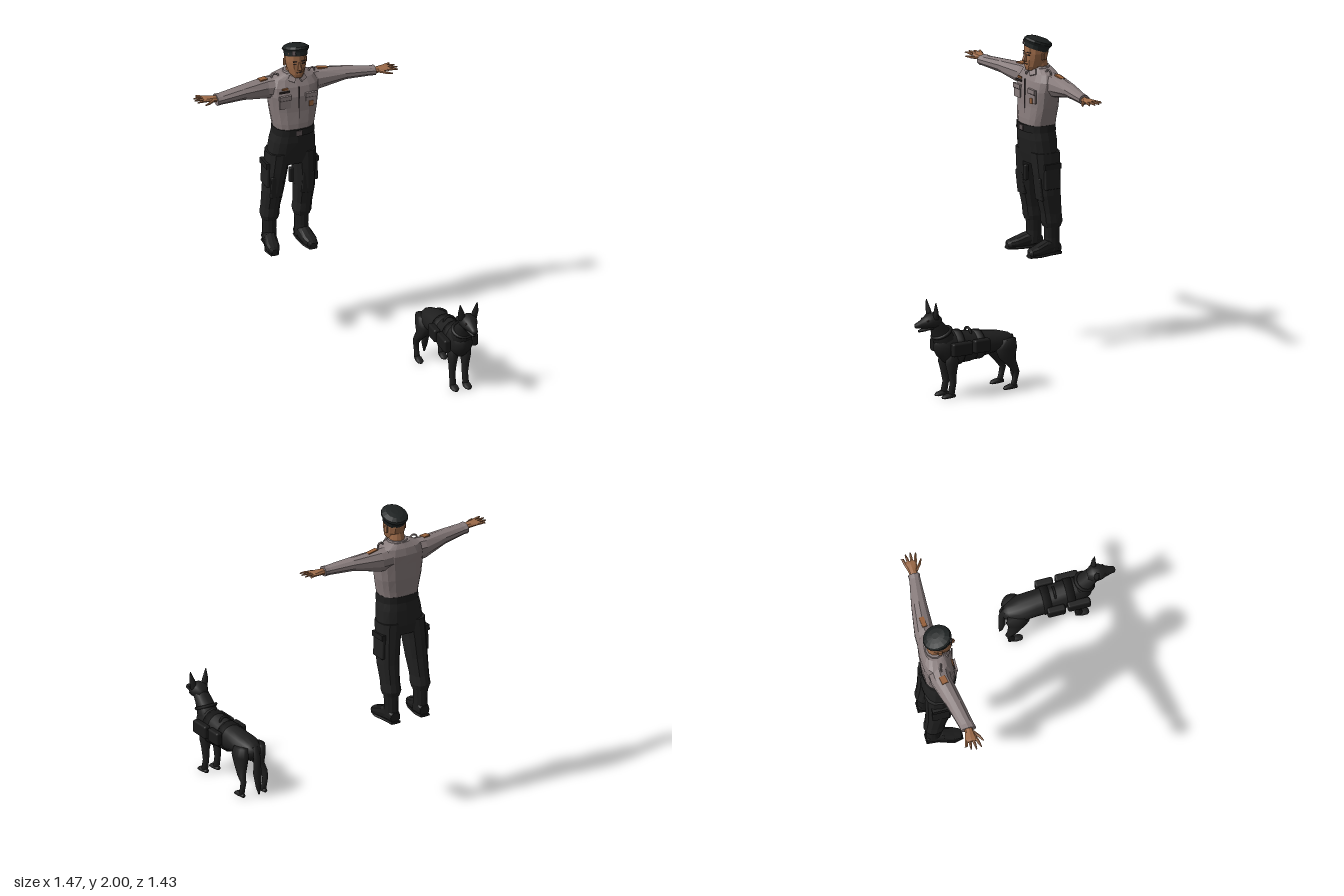
import * as THREE from 'three';
import { RoundedBoxGeometry } from 'three/addons/geometries/RoundedBoxGeometry.js';

const mat = (name, color) => Object.assign(new THREE.MeshStandardMaterial({ color }), { name });

// Closed skin over elliptical rings [x, y, z, a, b] stacked along an axis.
// Radii: axis y -> (x, z), axis x -> (y, z), axis z -> (x, y). pow < 1 makes squarer rings.
function loft(axis, rings, { n = 12, pow = 1, flat = true } = {}) {
  const k = 'xyz'.indexOf(axis), u = (k + 1) % 3, v = (k + 2) % 3;
  const list = rings[0][k] > rings[rings.length - 1][k] ? [...rings].reverse() : rings;
  const pos = [], idx = [];
  const curve = (c) => Math.sign(c) * Math.abs(c) ** pow;
  for (const r of list) {
    const [ru, rv] = axis === 'y' ? [r[4], r[3]] : [r[3], r[4]];
    for (let j = 0; j < n; j++) {
      const t = (j / n) * Math.PI * 2, p = r.slice(0, 3);
      p[u] += ru * curve(Math.cos(t));
      p[v] += rv * curve(Math.sin(t));
      pos.push(...p);
    }
  }
  for (let i = 0; i < list.length - 1; i++) for (let j = 0; j < n; j++) {
    const a = i * n + j, b = i * n + (j + 1) % n;
    idx.push(a, b, b + n, a, b + n, a + n);
  }
  const last = (list.length - 1) * n, c = pos.length / 3;
  pos.push(...list[0].slice(0, 3), ...list[list.length - 1].slice(0, 3));
  for (let j = 0; j < n; j++) {
    const q = (j + 1) % n;
    idx.push(c, q, j, c + 1, last + j, last + q);
  }
  let g = new THREE.BufferGeometry();
  g.setAttribute('position', new THREE.Float32BufferAttribute(pos, 3));
  g.setIndex(idx);
  if (flat) g = g.toNonIndexed();
  g.computeVertexNormals();
  return g;
}

export function createModel() {
  const M = {
    skin: mat('skin', 0x9c6a48), shirt: mat('shirt', 0x877b7b), seam: mat('shirt seam', 0x5b5153),
    trousers: mat('trousers black', 0x212121), leather: mat('leather black', 0x1c1c1c),
    beret: mat('beret dark', 0x1d2121), fur: mat('fur black', 0x1f1f1f),
    harness: mat('harness black', 0x1a1a1a), patch: mat('patch orange', 0x96603a), dark: mat('dark detail', 0x2c2524),
  };
  const root = new THREE.Group(), officer = new THREE.Group(), dog = new THREE.Group();
  root.name = 'officerAndDog'; officer.name = 'officer'; dog.name = 'dog';
  root.add(officer, dog);
  const add = (parent, name, geo, m, p = [0, 0, 0], r = [0, 0, 0]) => {
    const mesh = new THREE.Mesh(geo, m);
    mesh.name = name;
    mesh.position.set(...p);
    mesh.rotation.set(...r);
    parent.add(mesh);
    return mesh;
  };
  const box = (parent, name, m, p, s, r) => add(parent, name, new THREE.BoxGeometry(...s), m, p, r);
  const pouch = (parent, name, m, p, s, r) => add(parent, name, new RoundedBoxGeometry(...s, 2, Math.min(...s) * 0.3), m, p, r);
  const body = (name, axis, rings, m, o) => add(officer, name, loft(axis, rings, o), m);

  // Shirt body, collar and front closing
  body('shirtBody', 'y', [
    [-0.063, 1.42, -0.59, 0.123, 0.1], [-0.062, 1.48, -0.592, 0.135, 0.1], [-0.06, 1.56, -0.6, 0.15, 0.1],
    [-0.06, 1.66, -0.603, 0.162, 0.1], [-0.06, 1.72, -0.612, 0.165, 0.093], [-0.06, 1.765, -0.618, 0.14, 0.075],
    [-0.055, 1.795, -0.615, 0.075, 0.058]], M.shirt, { n: 16, pow: 0.75 });
  body('collar', 'y', [[-0.052, 1.77, -0.605, 0.078, 0.068], [-0.052, 1.805, -0.612, 0.062, 0.056]], M.shirt);
  box(officer, 'placket', M.seam, [-0.054, 1.59, -0.5, ], [0.006, 0.28, 0.008]);
  for (const s of [-1, 1]) {
    const x = -0.058 + s * 0.085;
    box(officer, 'chestPocket', M.shirt, [x, 1.63, -0.508], [0.072, 0.075, 0.014]);
    box(officer, 'pocketFlap', M.shirt, [x, 1.665, -0.503], [0.078, 0.026, 0.016]);
    box(officer, 'flapSeam', M.seam, [x, 1.65, -0.502], [0.074, 0.005, 0.016]);
    box(officer, 'collarPoint', M.shirt, [-0.052 + s * 0.035, 1.772, -0.538], [0.045, 0.035, 0.012], [-0.5, s * 0.3, s * 0.5]);
    add(officer, 'epaulette', new THREE.TorusGeometry(0.022, 0.006, 5, 8, Math.PI), M.shirt, [-0.055 + s * 0.12, 1.775, -0.6], [0, 0.2 * s, -0.3 * s]);
  }
  box(officer, 'chestBadge', M.patch, [0.024, 1.605, -0.499], [0.026, 0.035, 0.006]);
  box(officer, 'nameStrip', M.dark, [-0.145, 1.7, -0.513], [0.065, 0.012, 0.008]);
  box(officer, 'ribbonBar', M.patch, [-0.14, 1.718, -0.518], [0.04, 0.012, 0.008]);

  // Sleeves, shoulder patches and hands
  const sleeves = [
    [[-0.1, 1.705, -0.615, 0.075, 0.075], [-0.23, 1.705, -0.615, 0.07, 0.066], [-0.4, 1.72, -0.575, 0.045, 0.055],
      [-0.56, 1.722, -0.54, 0.033, 0.048], [-0.59, 1.723, -0.535, 0.035, 0.05]],
    [[-0.02, 1.705, -0.625, 0.075, 0.075], [0.1, 1.7, -0.635, 0.075, 0.064], [0.29, 1.712, -0.62, 0.042, 0.05],
      [0.45, 1.703, -0.602, 0.03, 0.036], [0.48, 1.702, -0.6, 0.032, 0.038]]];
  const wrists = [[-0.58, 1.73, -0.535], [0.47, 1.7, -0.6]];
  [-1, 1].forEach((s, i) => {
    body('sleeve', 'x', sleeves[i], M.shirt, { n: 10 });
    const hand = new THREE.Group();
    hand.name = 'hand';
    hand.position.set(...wrists[i]);
    hand.rotation.z = i ? 0.05 : -0.14;
    officer.add(hand);
    add(hand, 'palm', loft('x', [[0, 0, 0, 0.02, 0.025], [s * 0.035, 0, 0, 0.018, 0.028],
      [s * 0.085, 0, -0.003, 0.013, 0.04], [s * 0.1, 0, -0.003, 0.009, 0.037]], { n: 8 }), M.skin);
    for (let f = 0; f < 4; f++) {
      const z = -0.033 + f * 0.021, len = [0.125, 0.15, 0.157, 0.148][f];
      add(hand, 'finger', loft('x', [[s * 0.085, 0, z, 0.009, 0.011], [s * 0.125, 0, z * 1.3, 0.008, 0.009],
        [s * len, -0.004, z * 1.55, 0.004, 0.004]], { n: 6 }), M.skin);
    }
    add(hand, 'thumb', loft('x', [[s * 0.03, -0.002, 0.015, 0.012, 0.016], [s * 0.07, -0.008, 0.05, 0.009, 0.011],
      [s * 0.105, -0.012, 0.07, 0.004, 0.005]], { n: 6 }), M.skin);
  });
  box(officer, 'shoulderPatch', M.patch, [-0.255, 1.772, -0.605], [0.05, 0.008, 0.04], [0, 0.2, 0]);
  box(officer, 'shoulderPatch', M.patch, [0.145, 1.768, -0.63], [0.07, 0.008, 0.03], [0, 0.08, -0.17]);

  // Head and face
  body('neck', 'y', [[-0.05, 1.76, -0.615, 0.05, 0.05], [-0.05, 1.85, -0.6, 0.046, 0.05]], M.skin);
  body('head', 'y', [[-0.05, 1.785, -0.54, 0.028, 0.03], [-0.05, 1.808, -0.56, 0.048, 0.056], [-0.05, 1.85, -0.575, 0.06, 0.073],
    [-0.05, 1.89, -0.58, 0.066, 0.077], [-0.05, 1.95, -0.585, 0.064, 0.077]], M.skin, { pow: 0.9 });
  body('nose', 'y', [[-0.05, 1.842, -0.5, 0.014, 0.012], [-0.05, 1.852, -0.495, 0.014, 0.017], [-0.05, 1.895, -0.507, 0.007, 0.01]], M.skin, { n: 6 });
  box(officer, 'mouth', M.dark, [-0.05, 1.826, -0.504], [0.036, 0.004, 0.006]);
  for (const s of [-1, 1]) {
    box(officer, 'eye', M.dark, [-0.05 + s * 0.027, 1.884, -0.51], [0.018, 0.007, 0.008], [0, s * 0.3, 0]);
    box(officer, 'eyebrow', M.dark, [-0.05 + s * 0.028, 1.9, -0.51], [0.026, 0.005, 0.009], [0, s * 0.3, 0]);
    pouch(officer, 'ear', M.skin, [-0.05 + s * 0.068, 1.873, -0.59], [0.014, 0.042, 0.026], [0, s * 0.3, 0]);
  }

  // Beret, tilted to the back
  add(officer, 'beret', loft('y', [[0, -0.035, 0, 0.07, 0.08], [0, -0.01, 0, 0.072, 0.083], [0, 0.008, 0, 0.083, 0.094],
    [0.004, 0.022, 0, 0.078, 0.088], [0.004, 0.036, 0, 0.05, 0.06], [0.004, 0.04, 0, 0.02, 0.025]], { n: 16 }),
  M.beret, [-0.045, 1.946, -0.588], [-0.32, 0, -0.08]);
  box(officer, 'beretBadge', M.seam, [-0.085, 1.958, -0.512], [0.022, 0.028, 0.008], [-0.2, -0.5, 0]);

  // Trousers and belt
  body('hips', 'y', [[-0.072, 1.19, -0.61, 0.12, 0.085], [-0.07, 1.25, -0.605, 0.152, 0.094], [-0.066, 1.35, -0.595, 0.143, 0.102],
    [-0.063, 1.43, -0.588, 0.127, 0.1]], M.trousers, { n: 16, pow: 0.8 });
  body('belt', 'y', [[-0.063, 1.4, -0.588, 0.134, 0.106], [-0.063, 1.445, -0.588, 0.13, 0.106]], M.leather, { n: 16, pow: 0.8 });
  box(officer, 'buckle', M.seam, [-0.06, 1.422, -0.481], [0.04, 0.032, 0.008]);
  const legs = [
    { x: [-0.153, -0.168, -0.182, -0.19, -0.193, -0.193], toe: -0.224 },
    { x: [0.008, 0.018, 0.024, 0.022, 0.019, 0.018], toe: 0.03 }];
  const legShape = [[1.27, -0.605, 0.078, 0.094], [1.14, -0.612, 0.07, 0.088], [1.0, -0.622, 0.064, 0.077],
    [0.88, -0.642, 0.056, 0.066], [0.82, -0.65, 0.059, 0.066], [0.79, -0.65, 0.05, 0.055]];
  legs.forEach(({ x, toe }, i) => {
    const s = i ? 1 : -1, bx = x[5];
    body('trouserLeg', 'y', legShape.map(([y, z, a, b], j) => [x[j], y, z, a, b]), M.trousers, { n: 12, pow: 0.85 });
    pouch(officer, 'cargoPocket', M.trousers, [x[1] + s * 0.062, 1.12, -0.615], [0.026, 0.16, 0.11], [0, 0, s * 0.04]);
    box(officer, 'pocketLid', M.leather, [x[1] + s * 0.065, 1.185, -0.615], [0.03, 0.035, 0.115], [0, 0, s * 0.04]);
    pouch(officer, 'kneePanel', M.trousers, [x[2], 1.04, -0.553], [0.08, 0.15, 0.022], [0.12, 0, 0]);
    // Boot: shaft, foot and sole
    body('bootShaft', 'y', [[bx, 0.82, -0.65, 0.047, 0.05], [bx, 0.72, -0.652, 0.043, 0.048], [bx, 0.64, -0.648, 0.045, 0.052]], M.leather);
    const step = (t) => bx + (toe - bx) * t;
    body('bootFoot', 'z', [[bx, 0.65, -0.7, 0.035, 0.03], [bx, 0.665, -0.66, 0.043, 0.05], [step(0.4), 0.66, -0.6, 0.043, 0.045],
      [step(0.8), 0.645, -0.53, 0.046, 0.032], [toe, 0.64, -0.49, 0.036, 0.024], [toe, 0.635, -0.478, 0.018, 0.014]], M.leather, { pow: 0.8 });
    body('bootSole', 'z', [[bx, 0.618, -0.705, 0.036, 0.009], [bx, 0.618, -0.63, 0.042, 0.009], [step(0.8), 0.618, -0.54, 0.048, 0.009],
      [toe, 0.618, -0.478, 0.028, 0.009]], M.leather, { n: 8, pow: 0.5 });
  });
  pouch(officer, 'thighHolster', M.leather, [-0.095, 1.12, -0.535], [0.028, 0.1, 0.03]);

  // Dog: trunk, neck and head
  const smooth = { n: 16, flat: false };
  const fur = (name, axis, rings, o = smooth) => add(dog, name, loft(axis, rings, o), M.fur);
  fur('trunk', 'z', [[0.592, 0.29, -0.008, 0.025, 0.03], [0.593, 0.285, 0.025, 0.06, 0.058], [0.597, 0.302, 0.1, 0.086, 0.064],
    [0.604, 0.304, 0.2, 0.083, 0.077], [0.612, 0.303, 0.33, 0.084, 0.098], [0.618, 0.31, 0.43, 0.083, 0.108],
    [0.621, 0.325, 0.5, 0.074, 0.105], [0.624, 0.33, 0.545, 0.056, 0.07], [0.625, 0.335, 0.57, 0.025, 0.035]]);
  fur('neck', 'y', [[0.621, 0.29, 0.48, 0.065, 0.07], [0.622, 0.38, 0.502, 0.066, 0.077], [0.626, 0.44, 0.535, 0.056, 0.06],
    [0.63, 0.49, 0.575, 0.05, 0.048], [0.632, 0.53, 0.59, 0.035, 0.03]]);
  fur('head', 'z', [[0.632, 0.5, 0.54, 0.03, 0.025], [0.632, 0.503, 0.575, 0.056, 0.05], [0.632, 0.505, 0.62, 0.052, 0.046],
    [0.632, 0.495, 0.65, 0.037, 0.035], [0.632, 0.488, 0.685, 0.025, 0.023], [0.632, 0.484, 0.71, 0.02, 0.016], [0.632, 0.484, 0.718, 0.009, 0.008]]);
  fur('lowerJaw', 'z', [[0.632, 0.465, 0.6, 0.032, 0.016], [0.632, 0.455, 0.65, 0.022, 0.012], [0.632, 0.448, 0.692, 0.01, 0.007]]);
  fur('tail', 'y', [[0.593, 0.325, 0.005, 0.018, 0.014], [0.59, 0.26, -0.012, 0.024, 0.02], [0.587, 0.15, -0.012, 0.027, 0.022],
    [0.585, 0.07, -0.02, 0.018, 0.014], [0.585, 0.02, -0.028, 0.005, 0.004]]);

  // Ears, eyes, legs and pouches on each side
  const hipX = [0.535, 0.657], footX = [0.515, 0.673];
  [-1, 1].forEach((s, i) => {
    fur('ear', 'y', [[0.632 + s * 0.036, 0.52, 0.59, 0.024, 0.02], [0.632 + s * 0.047, 0.57, 0.595, 0.021, 0.012],
      [0.632 + s * 0.056, 0.628, 0.602, 0.003, 0.003]], { n: 8, flat: false });
    add(dog, 'eye', new THREE.SphereGeometry(0.007, 8, 6), M.dark, [0.632 + s * 0.034, 0.515, 0.645]);
    const fx = 0.62 + s * 0.042;
    fur('frontLeg', 'y', [[fx, 0.32, 0.45, 0.038, 0.05], [fx, 0.22, 0.47, 0.033, 0.044], [fx, 0.16, 0.468, 0.024, 0.03],
      [fx, 0.09, 0.462, 0.019, 0.021], [fx, 0.015, 0.478, 0.02, 0.022]]);
    fur('frontPaw', 'z', [[fx, 0.014, 0.45, 0.014, 0.012], [fx, 0.017, 0.49, 0.026, 0.017], [fx, 0.013, 0.522, 0.024, 0.013],
      [fx, 0.009, 0.537, 0.012, 0.007]]);
    const h = hipX[i], f = footX[i];
    fur('hindLeg', 'y', [[h, 0.32, 0.065, 0.04, 0.055], [h, 0.26, 0.075, 0.042, 0.075], [h, 0.2, 0.07, 0.035, 0.055],
      [f, 0.145, 0.035, 0.024, 0.032], [f, 0.105, 0.012, 0.017, 0.021], [f, 0.06, 0.022, 0.016, 0.018], [f, 0.015, 0.035, 0.018, 0.02]]);
    fur('hindPaw', 'z', [[f, 0.014, 0.008, 0.012, 0.012], [f, 0.017, 0.055, 0.023, 0.017], [f, 0.012, 0.088, 0.021, 0.012],
      [f, 0.008, 0.1, 0.01, 0.006]]);
    const zOff = i ? 0 : 0.03, px = i ? 0.708 : 0.517;
    pouch(dog, 'frontPouch', M.harness, [px + 0.006, 0.318, 0.43 + zOff], [0.045, 0.085, 0.145]);
    pouch(dog, 'rearPouch', M.harness, [px, 0.318, 0.285 + zOff], [0.045, 0.085, 0.115]);
  });

  // Harness straps and handle
  const strap = (name, z, x, y, rx, ry, w) => add(dog, name, loft('z', [[x, y, z - w, rx, ry], [x, y, z + w, rx, ry]], smooth), M.harness);
  strap('rearStrap', 0.27, 0.608, 0.304, 0.089, 0.094, 0.025);
  strap('frontStrap', 0.42, 0.617, 0.309, 0.09, 0.112, 0.025);
  add(dog, 'collar', new THREE.TorusGeometry(0.062, 0.011, 6, 18), M.harness, [0.624, 0.415, 0.522], [Math.PI / 2 + 0.45, 0, 0]);
  add(dog, 'handle', new THREE.TorusGeometry(0.035, 0.008, 6, 12, Math.PI), M.harness, [0.612, 0.383, 0.325]);
  return root;
}
